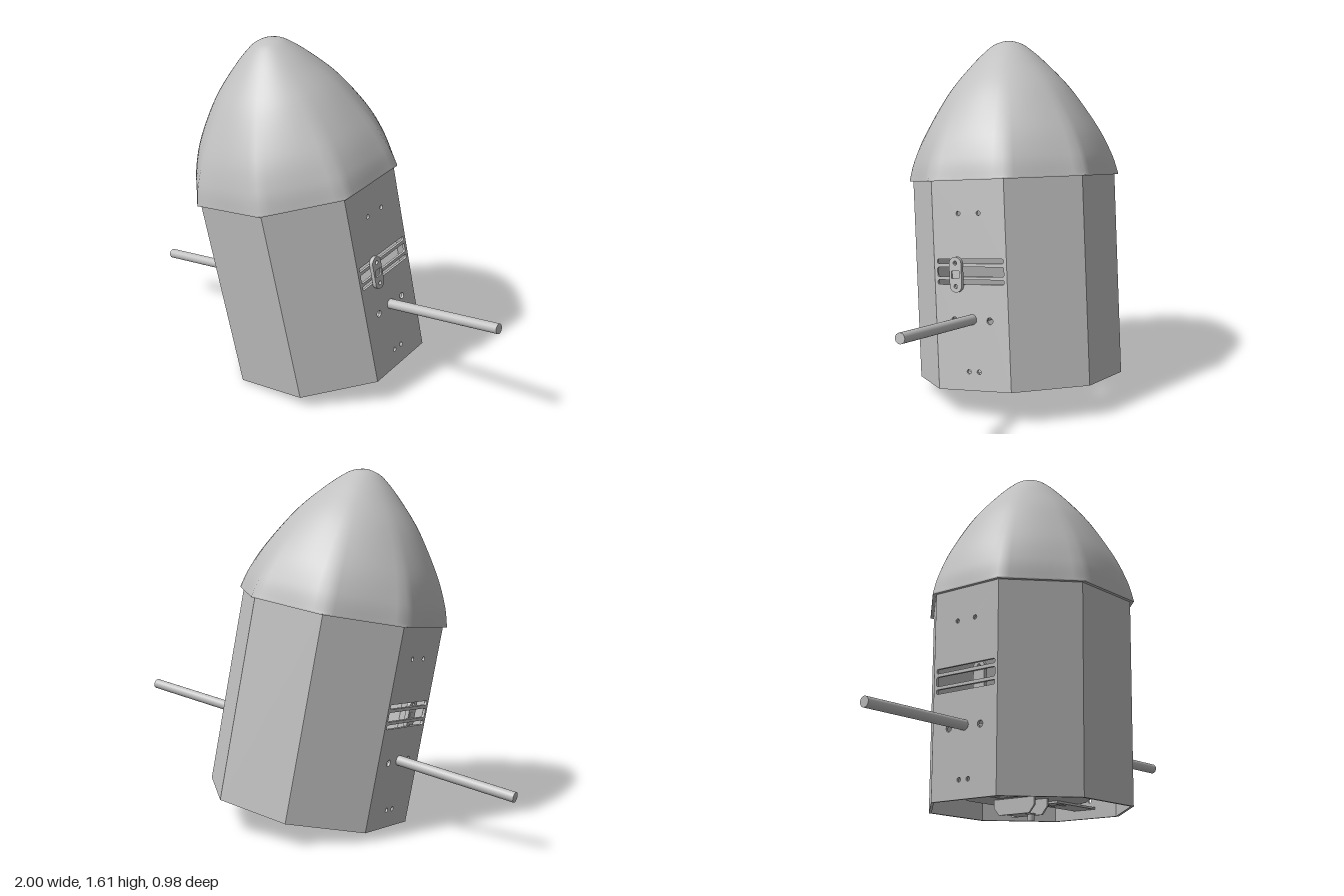
import * as THREE from 'three';

const APOTHEM = 0.434, WALL = 0.012, HEIGHT = 0.925;
const SIDE = 2 * APOTHEM * Math.tan(Math.PI / 8);

const grey = new THREE.MeshStandardMaterial({ color: 0xc0c0c0, side: THREE.DoubleSide });
grey.name = 'plain grey';

function add(parent, name, geometry, x = 0, y = 0, z = 0) {
  const mesh = new THREE.Mesh(geometry, grey);
  mesh.name = name;
  mesh.position.set(x, y, z);
  parent.add(mesh);
  return mesh;
}

function extrude(shape, depth) {
  return new THREE.ExtrudeGeometry(shape, { depth, bevelEnabled: false, curveSegments: 10 });
}

// Rectangle with rounded corners, as a Shape or a Path for a hole
function slot(Type, cx, cy, w, h, r = Math.min(w, h) / 2) {
  const p = new Type(), x = w / 2 - r, y = h / 2 - r;
  p.absarc(cx + x, cy - y, r, -Math.PI / 2, 0);
  p.absarc(cx + x, cy + y, r, 0, Math.PI / 2);
  p.absarc(cx - x, cy + y, r, Math.PI / 2, Math.PI);
  p.absarc(cx - x, cy - y, r, Math.PI, Math.PI * 1.5);
  p.closePath();
  return p;
}

function rectangle(w, y0, y1) {
  return new THREE.Shape([[-w / 2, y0], [w / 2, y0], [w / 2, y1], [-w / 2, y1]]
    .map(([x, y]) => new THREE.Vector2(x, y)));
}

function octagon(apothem) {
  const r = apothem / Math.cos(Math.PI / 8);
  return Array.from({ length: 8 }, (_, i) => {
    const a = (i + 0.5) * Math.PI / 4;
    return new THREE.Vector2(r * Math.cos(a), r * Math.sin(a));
  });
}

// Nose: eight-sided at the rim, turning round towards the tip
function noseGeometry() {
  const profile = new THREE.SplineCurve([
    [0.45, 0], [0.434, 0.09], [0.385, 0.22], [0.283, 0.392],
    [0.17, 0.522], [0.086, 0.598], [0.04, 0.621], [0, 0.629],
  ].map(([r, y]) => new THREE.Vector2(r, y))).getPoints(42);
  const N = 64, positions = [], index = [];
  profile.forEach((p, j) => {
    const blend = Math.pow(Math.max(0, 1 - p.y / 0.629), 2);
    for (let i = 0; i < N; i++) {
      const a = i / N * Math.PI * 2;
      const off = a - Math.round(a / (Math.PI / 4)) * Math.PI / 4;
      const r = p.x * (1 + blend * (1 / Math.cos(off) - 1));
      positions.push(r * Math.sin(a), p.y, r * Math.cos(a));
      if (j === profile.length - 1) continue;
      const k = (i + 1) % N, lo = j * N, hi = lo + N;
      index.push(lo + i, lo + k, hi + i);
      if (j < profile.length - 2) index.push(lo + k, hi + k, hi + i);
    }
  });
  const g = new THREE.BufferGeometry();
  g.setAttribute('position', new THREE.Float32BufferAttribute(positions, 3));
  g.setIndex(index);
  g.computeVertexNormals();
  return g;
}

export function createModel() {
  const model = new THREE.Group();
  model.name = 'octagonalCapsule';
  const body = new THREE.Group();
  body.name = 'tiltedBody';
  body.position.set(0.04, 0.079, -0.06);
  body.rotation.set(0.114, 0, 0.136, 'ZYX');
  model.add(body);

  // Eight wall panels; the two side panels carry slots and screw holes
  for (let i = 0; i < 8; i++) {
    const shape = rectangle(SIDE, 0, HEIGHT);
    const pierced = i % 4 === 2;
    if (pierced) {
      for (const [y, h] of [[0.475, 0.02], [0.52, 0.042], [0.566, 0.02]])
        shape.holes.push(slot(THREE.Path, 0, y, 0.33, h, 0.008));
      for (const [x, y, r] of [[0.025, 0.083, 0.01], [0.088, 0.307, 0.015], [0.05, 0.775, 0.01]])
        for (const s of [-1, 1]) shape.holes.push(slot(THREE.Path, s * x, y, 2 * r, 2 * r));
    }
    const g = extrude(shape, WALL).translate(0, 0, APOTHEM - WALL);
    add(body, pierced ? 'sidePanel' : 'wallPanel', g).rotation.y = i * Math.PI / 4;
  }

  // Nose and the lip under its rim
  add(body, 'nose', noseGeometry(), 0, HEIGHT, 0);
  const lip = new THREE.Shape(octagon(0.45));
  lip.holes.push(new THREE.Path(octagon(APOTHEM - WALL)));
  add(body, 'noseLip', extrude(lip, 0.006).rotateX(-Math.PI / 2), 0, HEIGHT - 0.006, 0);

  // Cross rod
  add(body, 'crossRod', new THREE.CylinderGeometry(0.023, 0.023, 2.012, 24).rotateZ(Math.PI / 2), 0, 0.312, 0);

  // Slider plates: outside on the left, inside on the right
  const slider = slot(THREE.Shape, 0, 0, 0.06, 0.155);
  slider.holes.push(slot(THREE.Path, 0, 0, 0.04, 0.034, 0.005));
  for (const s of [-1, 1]) slider.holes.push(slot(THREE.Path, 0, s * 0.051, 0.018, 0.018));
  for (const x of [APOTHEM, -APOTHEM + WALL]) {
    const plate = add(body, 'sliderPlate', extrude(slider, 0.018), x, 0.509, 0.065);
    plate.rotation.y = Math.PI / 2;
    add(body, 'sliderBlock', new THREE.BoxGeometry(0.012, 0.034, 0.04), x + 0.004, 0.509, 0.065);
  }

  // Base plate with two slotted arms reaching the side panels
  add(body, 'basePlate', extrude(new THREE.Shape(octagon(0.27)), 0.012).rotateX(-Math.PI / 2), 0, 0.05, 0);
  for (const s of [-1, 1]) {
    const arm = rectangle(0.12, 0.13, 0.415);
    for (const x of [-0.025, 0.025]) arm.holes.push(slot(THREE.Path, x, 0.2, 0.018, 0.06, 0.004));
    add(body, 'slottedArm', extrude(arm, 0.01).rotateX(-Math.PI / 2), 0, 0.04, 0)
      .rotation.y = -s * Math.PI / 2;
  }

  // Hanging bracket: two trapezoid cheeks, a floor and a pin
  const cheek = new THREE.Shape([[-0.115, 0.05], [-0.115, 0.015], [-0.085, -0.02],
    [0.085, -0.02], [0.115, 0.015], [0.115, 0.05]].map(([x, y]) => new THREE.Vector2(x, y)));
  for (const x of [-0.05, 0.04]) {
    add(body, 'bracketCheek', extrude(cheek, 0.01), x, 0, -0.045).rotation.y = Math.PI / 2;
  }
  add(body, 'bracketFloor', new THREE.BoxGeometry(0.09, 0.008, 0.1), 0, -0.016, -0.045);
  add(body, 'bracketPin', new THREE.CylinderGeometry(0.016, 0.016, 0.03, 16), 0.015, -0.033, 0);

  return model;
}
